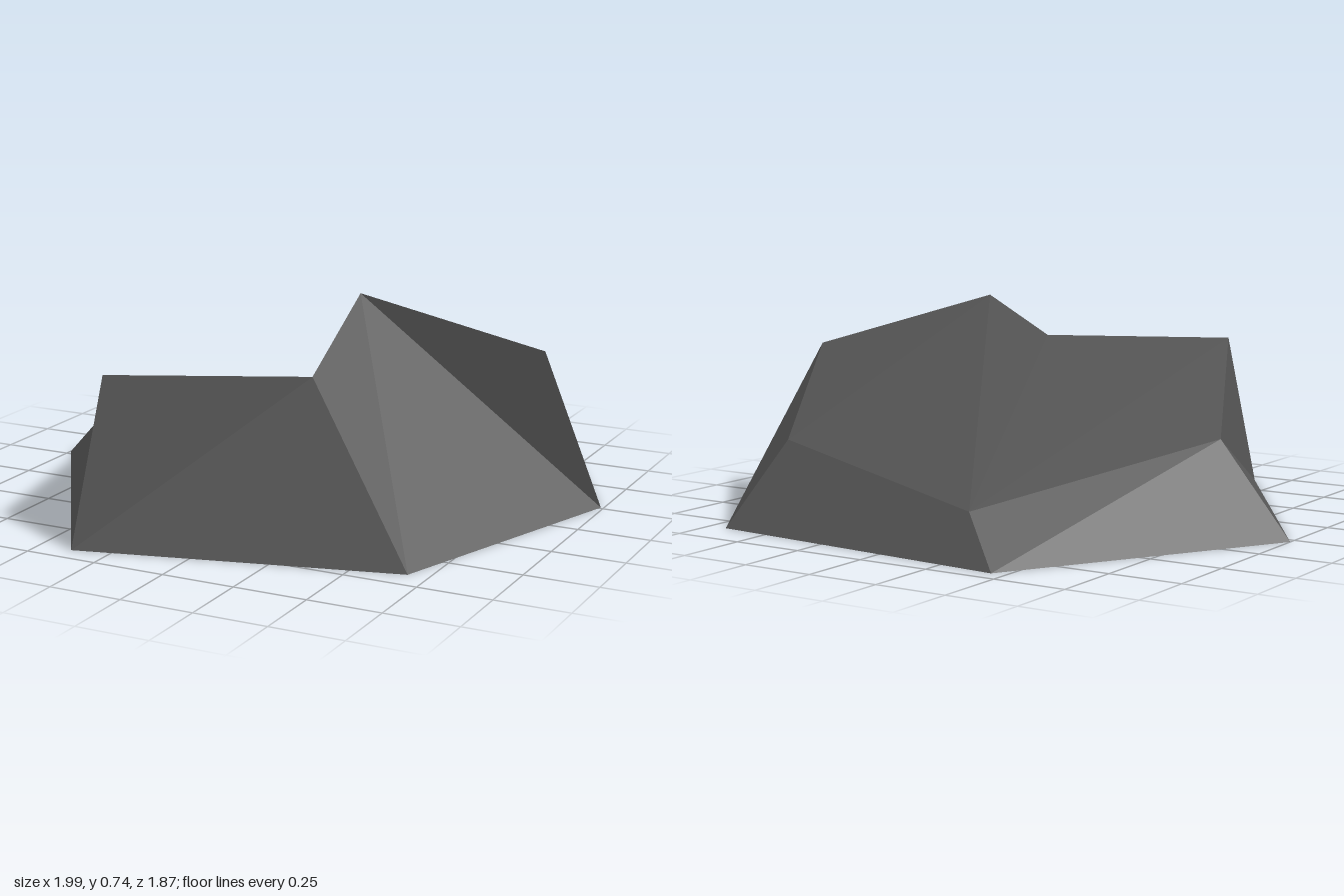
import * as THREE from 'three';

// Footprint on the ground (x, y, z), anticlockwise seen from above
const base = [
  [-1, 0, -0.03], [-0.38, 0, 0.93], [0.68, 0, 0.66],
  [0.99, 0, -0.26], [0.68, 0, -0.85], [-0.45, 0, -0.94],
];

// Upper corners in the same order; index 9 is the peak
const upper = [
  [-0.7, 0.3, 0.05], [-0.34, 0.55, 0.78], [0.27, 0.55, 0.5], [0.23, 0.735, 0.06],
  [0.81, 0.55, -0.16], [0.58, 0.28, -0.64], [-0.28, 0.15, -0.81],
];

// Facets as corner indices: 0-5 base, 6-12 upper
const flanks = [
  [0, 1, 6], [1, 7, 6], [1, 8, 7], [1, 2, 8], [2, 9, 8], [2, 3, 9], [3, 10, 9],
  [3, 4, 10], [4, 11, 10], [4, 12, 11], [4, 5, 12], [5, 6, 12], [5, 0, 6],
];
const crown = [[6, 7, 12], [7, 8, 12], [8, 9, 12], [9, 10, 11], [9, 11, 12]];

// Separate corners per facet keep every edge sharp
function facets(name, faces, material) {
  const corners = [...base, ...upper];
  const positions = faces.flat().flatMap((i) => corners[i]);
  const geometry = new THREE.BufferGeometry();
  geometry.setAttribute('position', new THREE.Float32BufferAttribute(positions, 3));
  geometry.computeVertexNormals();
  const mesh = new THREE.Mesh(geometry, material);
  mesh.name = name;
  return mesh;
}

export function createModel() {
  // Open underneath, so the shell shows from both sides
  const stone = new THREE.MeshStandardMaterial({ color: 0x555555, side: THREE.DoubleSide });
  stone.name = 'dark grey stone';

  const rock = new THREE.Group();
  rock.name = 'rock';
  rock.add(facets('rockFlanks', flanks, stone), facets('rockCrown', crown, stone));
  return rock;
}
